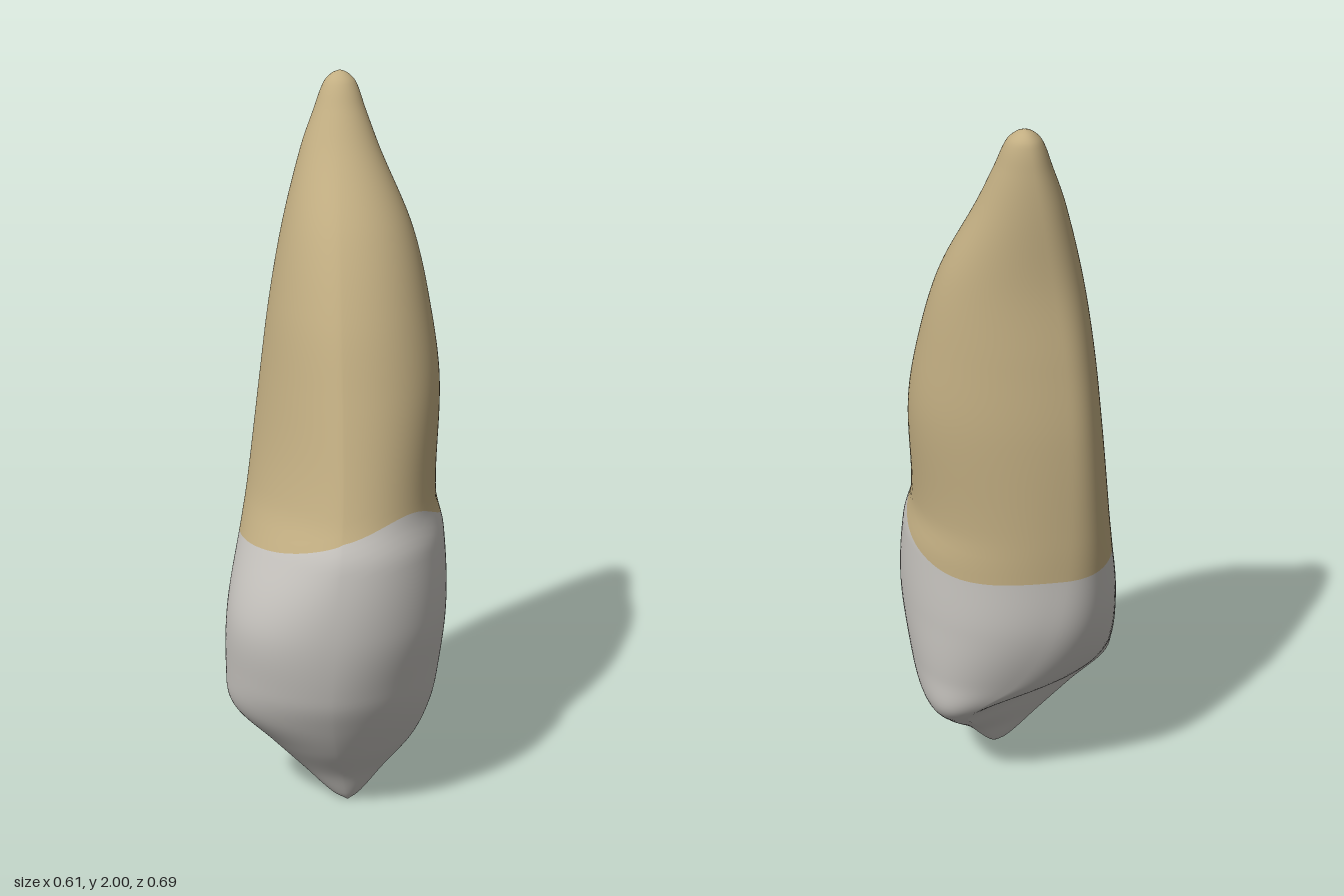
import * as THREE from 'three';

// Outline at each height: y, xMin, xMax, zBack, zFront
const outline = [
  [0, 0.03, 0.04, 0.08, 0.1],
  [0.02, -0.008, 0.068, 0.055, 0.115],
  [0.1, -0.09, 0.135, 0, 0.155],
  [0.2, -0.19, 0.22, -0.11, 0.225],
  [0.3, -0.29, 0.265, -0.21, 0.28],
  [0.4, -0.305, 0.285, -0.255, 0.32],
  [0.6, -0.297, 0.305, -0.315, 0.35],
  [0.8, -0.265, 0.295, -0.33, 0.335],
  [0.9, -0.25, 0.272, -0.335, 0.295],
  [1.2, -0.215, 0.278, -0.342, 0.2],
  [1.4, -0.19, 0.25, -0.332, 0.13],
  [1.6, -0.155, 0.2, -0.318, 0.03],
  [1.8, -0.105, 0.11, -0.32, -0.11],
  [1.9, -0.07, 0.07, -0.315, -0.17],
  [1.97, -0.043, 0.043, -0.303, -0.21],
  [1.993, -0.02, 0.02, -0.283, -0.238],
  [2, -0.001, 0.001, -0.261, -0.259],
];

// Form at each height: y, z of the left and right extremes, x of the front and
// back extremes, then the roundness (1 = straight, 2 = round, more = boxy) of
// the front left, front right, back left and back right quarters
const form = [
  [0, 0.09, 0.09, 0.035, 0.035, 1.8, 1.8, 1.8, 1.6],
  [0.2, 0.06, 0.08, 0.01, 0.12, 1.6, 1.8, 2.6, 1],
  [0.3, 0.05, 0.07, 0, 0.14, 1.7, 1.9, 2.8, 1.05],
  [0.42, 0.05, 0.07, 0, 0.02, 1.8, 2, 2.7, 1.9],
  [0.6, 0.05, 0.07, 0.01, -0.06, 2, 2.1, 2.3, 2.4],
  [0.9, -0.01, -0.06, 0.03, -0.1, 2.15, 1.5, 2.1, 2.6],
  [1.4, -0.1, -0.15, 0.02, -0.09, 2.1, 1.6, 2.05, 2.5],
  [2, -0.26, -0.26, 0, 0, 2, 2, 2, 2],
];

// Smooth interpolation of a table at height y
function rowAt(table, y) {
  const last = table.length - 1;
  let i = 0;
  while (i < last - 1 && y > table[i + 1][0]) i++;
  const a = table[i], b = table[i + 1], h = b[0] - a[0];
  const t = THREE.MathUtils.clamp((y - a[0]) / h, 0, 1), t2 = t * t, t3 = t2 * t;
  const slope = (k, c) => {
    const p = table[Math.max(k - 1, 0)], q = table[Math.min(k + 1, last)];
    return (q[c] - p[c]) / (q[0] - p[0]);
  };
  return a.map((_, c) => (2 * t3 - 3 * t2 + 1) * a[c] + (t3 - 2 * t2 + t) * h * slope(i, c)
    + (3 * t2 - 2 * t3) * b[c] + (t3 - t2) * h * slope(i + 1, c));
}

// Point on the surface; angle 0 is +x and a quarter turn is the front
function surfacePoint(angle, y) {
  const [, xMin, xMax, zBack, zFront] = rowAt(outline, y);
  const [, zLeft, zRight, xFront, xBack, ...roundness] = rowAt(form, y);
  const c = Math.cos(angle), s = Math.sin(angle);
  const front = s >= 0, left = c >= 0;
  const n = roundness[(front ? 0 : 2) + (left ? 0 : 1)];
  const x = front ? xFront : xBack, z = left ? zLeft : zRight;
  return [
    x + Math.abs(c) ** (2 / n) * ((left ? xMax : xMin) - x),
    y,
    z + Math.abs(s) ** (2 / n) * ((front ? zFront : zBack) - z),
  ];
}

// Height of the wavy line between crown and root, every eighth of a turn
const neckHeights = [0.84, 0.91, 0.86, 0.8, 0.78, 0.79, 0.785, 0.77];
function neckAt(angle) {
  const f = angle / (Math.PI / 4), i = Math.floor(f), t = f - i;
  const p = (k) => neckHeights[(i + k + 8) % 8];
  return p(0) + 0.5 * t * (p(1) - p(-1)
    + t * (2 * p(-1) - 5 * p(0) + 4 * p(1) - p(2) + t * (3 * (p(0) - p(1)) + p(2) - p(-1))));
}

export function createModel() {
  const group = new THREE.Group();
  group.name = 'tooth';
  const enamel = new THREE.MeshStandardMaterial({ color: 0xc6c3be });
  enamel.name = 'enamel';
  const rootTan = new THREE.MeshStandardMaterial({ color: 0xc2ae82 });
  rootTan.name = 'root tan';

  // One continuous skin, with a row of points following the neck line
  const around = 128, crownRows = 56, rootRows = 72, rows = crownRows + rootRows;
  const positions = [];
  for (let i = 0; i <= rows; i++) {
    for (let j = 0; j < around; j++) {
      const angle = (j / around) * Math.PI * 2, neck = neckAt(angle);
      const y = i <= crownRows
        ? neck * (i / crownRows) ** 1.3
        : neck + (2 - neck) * (1 - (1 - (i - crownRows) / rootRows) ** 1.6);
      positions.push(...surfacePoint(angle, y));
    }
  }
  const strip = (from, to) => {
    const index = [];
    for (let i = from; i < to; i++) {
      for (let j = 0; j < around; j++) {
        const a = i * around + j, b = i * around + ((j + 1) % around);
        index.push(a, a + around, b, b, a + around, b + around);
      }
    }
    return index;
  };
  const skin = new THREE.BufferGeometry();
  skin.setAttribute('position', new THREE.Float32BufferAttribute(positions, 3));
  skin.setIndex(strip(0, rows));
  skin.computeVertexNormals();

  // Crown and root share the skin's points so shading runs across the neck
  const addPart = (name, material, from, to) => {
    const geometry = new THREE.BufferGeometry();
    geometry.setAttribute('position', skin.attributes.position);
    geometry.setAttribute('normal', skin.attributes.normal);
    geometry.setIndex(strip(from, to));
    const mesh = new THREE.Mesh(geometry, material);
    mesh.name = name;
    group.add(mesh);
  };
  addPart('crown', enamel, 0, crownRows);
  addPart('root', rootTan, crownRows, rows);
  return group;
}
